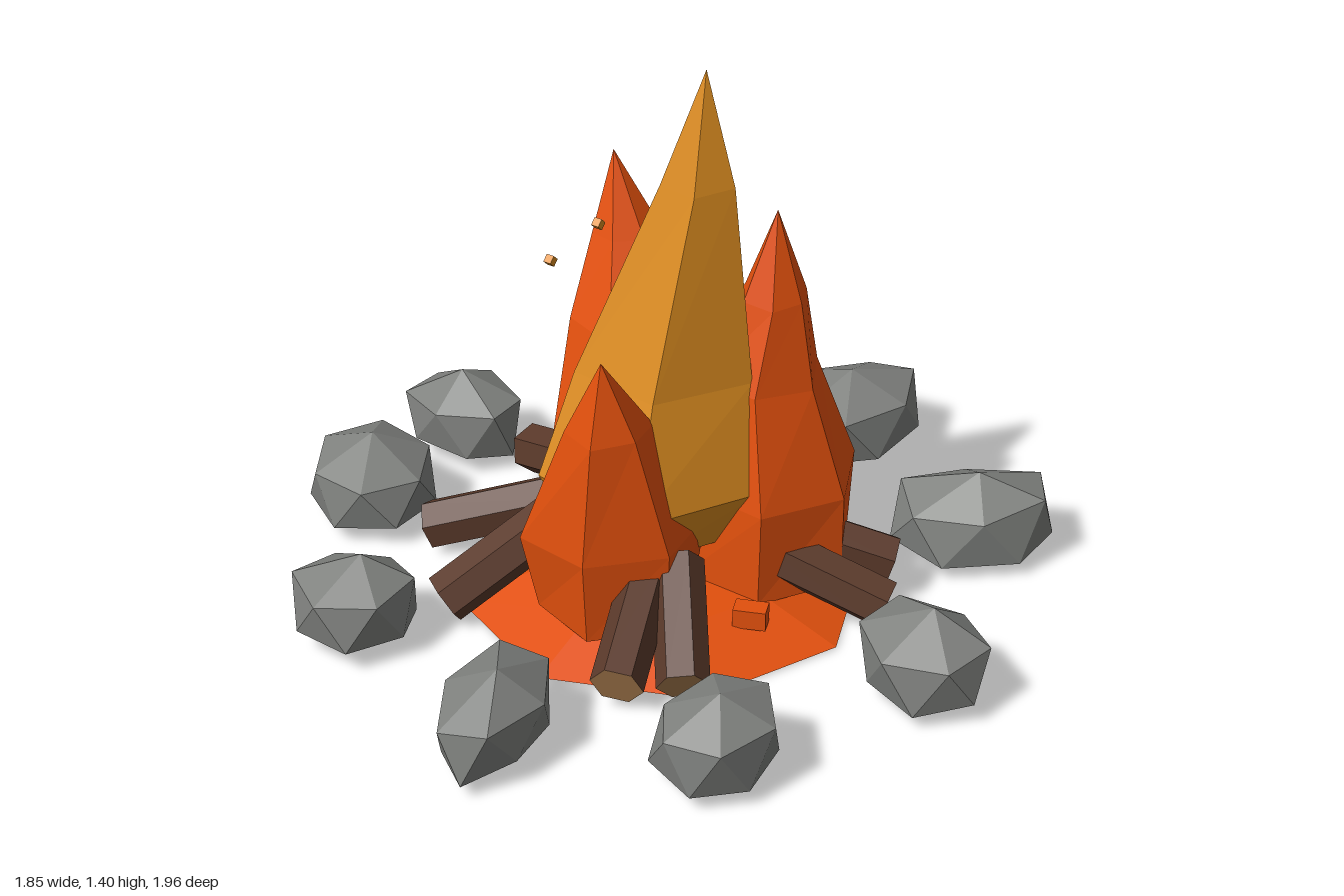
import * as THREE from 'three';

const material = (name, color) => {
  const m = new THREE.MeshStandardMaterial({ color });
  m.name = name;
  return m;
};

// Small seeded random, returns -1..1
let seed = 7;
const rnd = () => {
  seed = (seed * 16807) % 2147483647;
  return (seed / 2147483647) * 2 - 1;
};

// Separate face normals give the faceted look
function faceted(geometry) {
  const g = geometry.index ? geometry.toNonIndexed() : geometry;
  g.computeVertexNormals();
  return g;
}

// Skin a stack of rings: each is [y, radius, centreX, centreZ, turn]
function loft(rings, sides, jitter, stretchX = 1, stretchZ = 1) {
  const rows = rings.map(([y, r, cx = 0, cz = 0, turn = 0]) =>
    Array.from({ length: sides }, (_, i) => {
      const a = ((i + turn) / sides) * Math.PI * 2;
      const k = r * (1 + rnd() * jitter);
      const dy = r ? rnd() * jitter * 0.2 : 0;
      return new THREE.Vector3(
        cx + Math.cos(a) * k * stretchX, y + dy, cz + Math.sin(a) * k * stretchZ);
    }));
  const out = [];
  const tri = (...p) => {
    if (new THREE.Triangle(...p).getArea() > 1e-7) p.forEach(v => out.push(v.x, v.y, v.z));
  };
  for (let j = 0; j < rows.length - 1; j++) {
    for (let i = 0; i < sides; i++) {
      const n = (i + 1) % sides, lo = rows[j], up = rows[j + 1];
      tri(lo[n], lo[i], up[i]);
      tri(lo[n], up[i], up[n]);
    }
  }
  const g = new THREE.BufferGeometry();
  g.setAttribute('position', new THREE.Float32BufferAttribute(out, 3));
  return faceted(g);
}

export function createModel() {
  seed = 7;
  const group = new THREE.Group();
  group.name = 'campfire';
  const orange = material('flame orange', 0xe2500d);
  const gold = material('flame gold', 0xdc8c20);
  const stone = material('stone grey', 0x7f817e);
  const bark = material('bark brown', 0x5a392a);
  const cut = material('cut wood', 0xac7e50);

  const add = (name, geometry, mat, x = 0, y = 0, z = 0) => {
    const mesh = new THREE.Mesh(geometry, mat);
    mesh.name = name;
    mesh.position.set(x, y, z);
    group.add(mesh);
    return mesh;
  };

  // Low mound under the fire
  add('emberBed', faceted(new THREE.CylinderGeometry(0.3, 0.505, 0.065, 8)), orange, 0, 0.047, 0);

  // Outer flames
  add('leftFlame', loft([
    [0.05, 0, -0.16, -0.15], [0.07, 0.22, -0.16, -0.15, 0.25], [0.3, 0.245, -0.15, -0.14, 0.25],
    [0.62, 0.165, -0.21, -0.18, 0.25], [0.82, 0.08, -0.26, -0.21, 0.25], [1.01, 0, -0.305, -0.23],
  ], 6, 0.06), orange);
  add('rightFlame', loft([
    [0.05, 0, 0.2, -0.16], [0.07, 0.215, 0.19, -0.16], [0.31, 0.225, 0.19, -0.17],
    [0.6, 0.15, 0.175, -0.15], [0.82, 0.08, 0.215, -0.15], [1.04, 0, 0.22, -0.15],
  ], 6, 0.06), orange);
  add('frontFlame', loft([
    [0.05, 0, 0, 0.2], [0.07, 0.19, 0, 0.2, 0.25], [0.28, 0.215, 0, 0.2, 0.25],
    [0.6, 0.105, 0.035, 0.27, 0.25], [0.8, 0, 0.055, 0.32],
  ], 6, 0.06), orange);

  // Tall inner flame
  add('innerFlame', loft([
    [0.12, 0, 0, 0], [0.2, 0.2, 0, 0.02, -0.125], [0.36, 0.28, 0, 0.04, -0.125],
    [0.64, 0.22, 0.01, 0, -0.125], [1.12, 0.09, 0.085, -0.025, -0.125], [1.41, 0, 0.1, -0.03],
  ], 5, 0.05), gold);

  // Leaning logs: outer end x, y, z then inner end x, y, z
  const up = new THREE.Vector3(0, 1, 0);
  [
    [-0.165, 0.08, -0.56, -0.07, 0.23, -0.22],
    [0.01, 0.09, -0.58, 0.01, 0.23, -0.22],
    [0.49, 0.11, -0.27, 0.18, 0.22, -0.1],
    [0.55, 0.07, -0.15, 0.2, 0.2, -0.04],
    [0.34, 0.07, 0.4, 0.17, 0.23, 0.18],
    [0.23, 0.09, 0.51, 0.1, 0.22, 0.18],
    [-0.33, 0.07, 0.44, -0.17, 0.24, 0.2],
    [-0.56, 0.07, 0.2, -0.22, 0.21, 0.06],
    [-0.54, 0.1, -0.19, -0.22, 0.21, -0.08],
  ].forEach(([ox, oy, oz, ix, iy, iz], i) => {
    const a = new THREE.Vector3(ox, oy, oz), b = new THREE.Vector3(ix, iy, iz);
    const dir = b.clone().sub(a);
    const log = add(`log${i + 1}`,
      faceted(new THREE.CylinderGeometry(0.064, 0.064, dir.length(), 6)), [bark, bark, cut]);
    log.position.copy(a).lerp(b, 0.5);
    log.quaternion.setFromUnitVectors(up, dir.normalize());
  });

  // Ring of stones: x, z, half length, half width, heading of the long axis (x, z)
  [
    [-0.31, -0.72, 0.175, 0.145, 1, 1.4],
    [0.065, -0.79, 0.21, 0.15, 0, 1],
    [0.56, -0.54, 0.21, 0.15, 0.75, -0.65],
    [0.765, 0.04, 0.17, 0.145, 1, 0.2],
    [0.545, 0.565, 0.175, 0.15, 0.2, 1],
    [0.085, 0.78, 0.21, 0.125, 0.25, 1],
    [-0.455, 0.62, 0.155, 0.155, 1, 0],
    [-0.765, 0.18, 0.175, 0.17, 1, 0.6],
    [-0.765, -0.195, 0.17, 0.12, 1, 0],
  ].forEach(([x, z, long, wide, hx, hz], i) => {
    const rock = add(`stone${i + 1}`, loft([
      [0, 0], [0.022, 0.93], [0.145, 0.92, 0, 0, 0.5],
      [0.215, 0, rnd() * 0.025, rnd() * 0.025],
    ], 6, 0.08, long, wide), stone, x, 0.037, z);
    rock.rotation.y = Math.atan2(-hz, hx);
  });

  // Embers on the mound
  [[0.32, 0.09, 0.4], [-0.31, -0.27, 0.8]].forEach(([x, z, turn], i) => {
    add(`ember${i + 1}`, new THREE.BoxGeometry(0.08, 0.05, 0.05), orange, x, 0.085, z).rotation.y = turn;
  });

  // Sparks drifting above
  [[-0.185, 0.93, 0.185], [-0.095, 1.025, 0.12]].forEach(([x, y, z], i) => {
    add(`spark${i + 1}`, new THREE.BoxGeometry(0.02, 0.02, 0.02), gold, x, y, z).rotation.x = Math.PI / 4;
  });

  return group;
}
